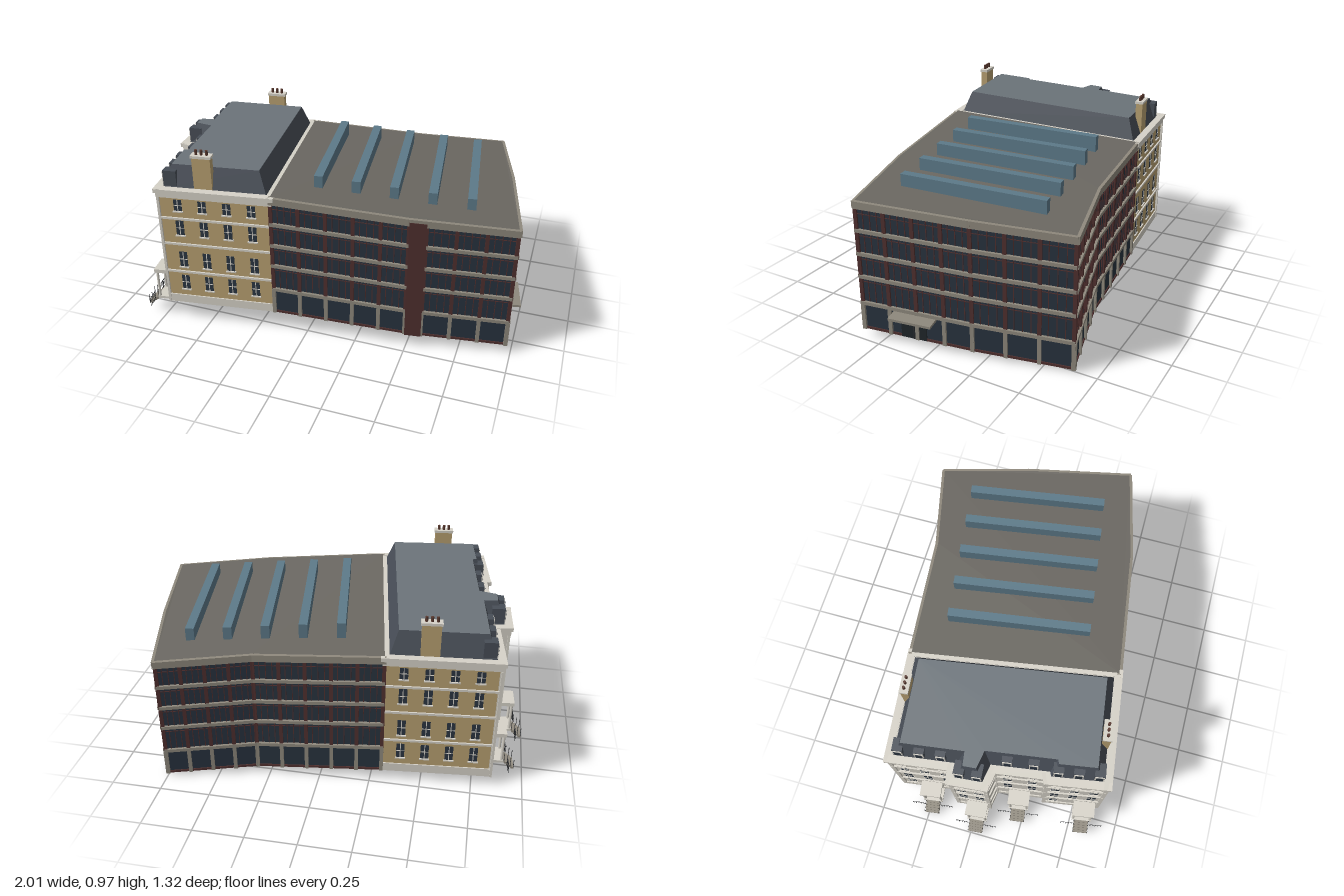
import * as THREE from 'three';
import { mergeGeometries } from 'three/addons/utils/BufferGeometryUtils.js';

const COLORS = {
  brick: 0xb8a071, stucco: 0xd6d2c8, pane: 0x2b3541, slate: 0x484e57, leadRoof: 0x6c747a,
  glass: 0x28333f, maroon: 0x50302f, concrete: 0x8f897d, flatRoof: 0x6b6862,
  skylight: 0x5d7a89, iron: 0x2c2e31, pot: 0x5a3a30, doorDark: 0x20262a,
};

export function createModel() {
  const model = new THREE.Group();
  const parts = new Map();

  // Collect geometry by part name; each part becomes one mesh.
  const add = (name, color, geo) => {
    const g = geo.index ? geo.toNonIndexed() : geo;
    g.deleteAttribute('uv');
    if (!parts.has(name)) parts.set(name, { color, geos: [] });
    parts.get(name).geos.push(g);
  };

  // Frame along a wall: u runs from a to b and follows the sloping ground, v is up, w is outward.
  const frame = (a, b) => {
    const d = new THREE.Vector3().subVectors(b, a);
    const length = Math.hypot(d.x, d.z);
    d.divideScalar(length);
    const m = new THREE.Matrix4().makeBasis(d, new THREE.Vector3(0, 1, 0), new THREE.Vector3(-d.z, 0, d.x)).setPosition(a);
    const box = (name, color, u0, u1, v0, v1, w0, w1) => {
      const g = new THREE.BoxGeometry(u1 - u0, v1 - v0, w1 - w0);
      g.translate((u0 + u1) / 2, (v0 + v1) / 2, (w0 + w1) / 2);
      add(name, color, g.applyMatrix4(m));
    };
    const post = (name, color, u, w, v0, v1, r) => {
      const g = new THREE.CylinderGeometry(r, r, v1 - v0, 8).translate(u, (v0 + v1) / 2, w);
      add(name, color, g.applyMatrix4(m));
    };
    return { box, post, length };
  };

  const surface = (name, color, triangles) => {
    const g = new THREE.BufferGeometry().setFromPoints(triangles);
    g.computeVertexNormals();
    add(name, color, g);
  };
  const cap = (name, color, pts) => {
    const faces = THREE.ShapeUtils.triangulateShape(pts.map(p => new THREE.Vector2(p.x, -p.z)), []);
    surface(name, color, faces.flat().map(i => pts[i]));
  };
  const raise = (pts, h) => pts.map(p => new THREE.Vector3(p.x, p.y + h, p.z));

  // ---------- Modern wing ----------
  const H = 0.655;
  const V = (x, y, z) => new THREE.Vector3(x, y, z);
  const wing = [V(-0.155, 0.11, 0.543), V(0.49, 0.07, 0.455), V(0.97, 0.037, 0.345), V(0.865, 0.02, -0.185),
    V(0.75, 0.003, -0.635), V(0.31, 0.03, -0.53), V(-0.305, 0.05, -0.47)];
  const floors = [0.14, 0.278, 0.394, 0.511, 0.62];

  const curtainWall = (a, b, bays, start = 0) => {
    const { box, length } = frame(a, b);
    box('groundFloorGlazing', 'glass', 0, length, 0, 0.14, -0.01, 0);
    box('wingInnerWall', 'maroon', 0, length, 0.14, 0.64, -0.012, -0.006);
    box('upperGlazing', 'glass', 0, length, 0.14, 0.62, -0.006, 0);
    box('plinth', 'maroon', 0, length, 0, 0.012, 0, 0.005);
    box('wingParapet', 'concrete', -0.008, length + 0.008, 0.62, H, -0.01, 0.014);
    for (const v of floors.slice(0, 4)) box('floorBand', 'concrete', -0.006, length + 0.006, v - 0.008, v + 0.009, 0, 0.013);
    const step = (length - start) / bays;
    for (let i = 0; i <= bays; i++) {
      const u = start + i * step;
      box('groundPier', 'concrete', u - 0.009, u + 0.009, 0, 0.14, -0.002, 0.012);
      box('upperPier', 'maroon', u - 0.009, u + 0.009, 0.14, 0.62, -0.002, 0.009);
      if (i === bays) break;
      for (let k = 1; k < 4; k++) {
        const mu = u + step * k / 4;
        box('mullion', 'maroon', mu - 0.0018, mu + 0.0018, 0.14, 0.62, 0, 0.004);
      }
    }
    for (let i = 0; i < 4; i++) {
      const v = floors[i + 1] - 0.028;
      box('transom', 'maroon', 0, length, v, v + 0.003, 0, 0.003);
    }
  };
  [5, 3, 4, 3, 4, 5].forEach((bays, i) => curtainWall(wing[i], wing[i + 1], bays, i === 1 ? 0.08 : 0));
  frame(wing[1], wing[2]).box('stairTowerPanel', 'maroon', 0, 0.08, 0, 0.64, -0.004, 0.016);
  cap('wingRoof', 'flatRoof', raise(wing, H + 0.002));

  // Main entrance
  const entry = frame(wing[2], wing[3]);
  entry.box('entranceDoor', 'doorDark', 0.19, 0.315, 0, 0.115, 0, 0.006);
  entry.box('entranceDoorPost', 'iron', 0.25, 0.255, 0, 0.115, 0.004, 0.009);
  entry.box('entranceCanopy', 'concrete', 0.158, 0.367, 0.118, 0.13, 0, 0.075);

  // Roof lights
  const roofY = (x, z) => 0.69 - 0.062 * (x - 0.97) + 0.04 * (z - 0.345);
  for (let i = 0; i < 5; i++) {
    const x = 0.016 + 0.18 * i, z = 0.355 - 0.025 * i;
    const a = V(x - 0.096, roofY(x - 0.096, z - 0.7), z - 0.7), b = V(x, roofY(x, z), z);
    const f = frame(a, b);
    f.box('roofLight', 'skylight', 0, f.length, -0.035, 0.06, -0.021, 0.021);
  }

  // ---------- Old terrace ----------
  const ground = (x, z) => 0.11 + 0.015 * (x + 0.155) + 0.057 * (z - 0.543);
  const outline = [[-0.7, 0.62], [-0.155, 0.543], [-0.305, -0.47], [-0.84, -0.415], [-0.8, -0.11],
    [-0.865, -0.1], [-0.85, 0.07], [-0.76, 0.085], [-0.725, 0.33], [-0.745, 0.34]]
    .map(([x, z]) => V(x, ground(x, z), z));
  const n = outline.length;
  const rows = [[0.125, 0.08], [0.262, 0.085], [0.443, 0.08], [0.568, 0.06]];

  const sashWindow = (f, u, v, h) => {
    const w = 0.02;
    f.box('windowPane', 'pane', u - w, u + w, v - h / 2, v + h / 2, 0, 0.002);
    f.box('windowSill', 'stucco', u - w - 0.005, u + w + 0.005, v - h / 2 - 0.006, v - h / 2, 0, 0.009);
    f.box('glazingBar', 'stucco', u - 0.002, u + 0.002, v - h / 2, v + h / 2, 0, 0.004);
    f.box('glazingBar', 'stucco', u - w, u + w, v - 0.0015, v + 0.0015, 0, 0.004);
  };

  const porch = (f, u) => {
    f.box('frontDoor', 'doorDark', u - 0.022, u + 0.022, 0, 0.12, 0, 0.004);
    f.box('porchCanopy', 'stucco', u - 0.055, u + 0.055, 0.148, 0.168, 0, 0.082);
    f.box('porchFloor', 'stucco', u - 0.052, u + 0.052, -0.012, 0.002, 0, 0.08);
    for (let i = 0; i < 5; i++)
      f.box('porchStep', 'concrete', u - 0.038, u + 0.038, -0.02 - 0.01 * i, -0.008 - 0.01 * i, 0.075 + 0.012 * i, 0.09 + 0.012 * i);
    for (const s of [-1, 1]) {
      f.post('porchColumn', 'stucco', u + s * 0.044, 0.07, 0, 0.15, 0.007);
      f.box('porchPilaster', 'stucco', u + s * 0.044 - 0.006, u + s * 0.044 + 0.006, 0, 0.15, 0, 0.008);
      for (let i = 0; i < 4; i++) // stair and area railings
        f.post('railingPost', 'iron', u + s * 0.038, 0.085 + 0.017 * i, -0.012 - 0.013 * i, 0.035 - 0.013 * i, 0.0015);
      for (let i = 0; i < 5; i++)
        f.post('railingPost', 'iron', u + s * (0.05 + 0.014 * i), 0.1, -0.03, 0.02, 0.0012);
      const r = [u + s * 0.045, u + s * 0.11].sort((p, q) => p - q);
      f.box('railingBar', 'iron', r[0], r[1], 0.014, 0.017, 0.099, 0.101);
    }
  };

  // Wall index -> [window columns, porch position along the wall as a fraction]
  const layout = { 0: [4], 1: [8], 2: [4], 3: [3, 0.54], 5: [2, 0.66], 7: [2, 0.5], 9: [3, 0.74] };
  for (let i = 0; i < n; i++) {
    const f = frame(outline[i], outline[(i + 1) % n]), L = f.length, left = i > 2;
    f.box(left ? 'stuccoFront' : 'brickWall', left ? 'stucco' : 'brick', 0, L, 0, 0.64, -0.01, 0);
    f.box('basePlinth', 'stucco', -0.005, L + 0.005, 0, 0.045, 0, 0.006);
    for (const v of [0.183, 0.345, 0.49]) f.box('stringCourse', 'stucco', -0.007, L + 0.007, v, v + 0.011, 0, 0.008);
    f.box('cornice', 'stucco', -0.008, L + 0.008, 0.61, 0.635, 0, 0.01);
    f.box('cornice', 'stucco', -0.016, L + 0.016, 0.635, H, -0.02, 0.018);
    if (!layout[i]) continue;
    const [cols, door] = layout[i];
    for (let c = 0; c < cols; c++) {
      const u = L * (left ? (c + 0.5) / cols : 0.17 + 0.66 * c / (cols - 1));
      rows.forEach(([v, h], r) => {
        if (door && r === 0 && Math.abs(u - door * L) < 0.08) return;
        sashWindow(f, u, v, h);
      });
      if (left) { // dormers
        f.box('dormer', 'slate', u - 0.025, u + 0.025, 0.66, 0.738, -0.09, -0.026);
        f.box('dormerFrame', 'stucco', u - 0.022, u + 0.022, 0.665, 0.732, -0.03, -0.022);
        f.box('dormerPane', 'pane', u - 0.016, u + 0.016, 0.672, 0.725, -0.024, -0.02);
      }
    }
    if (left) for (const u of [0, L]) f.box('cornerPilaster', 'stucco', u - 0.01, u + 0.01, 0, 0.61, -0.005, 0.007);
    if (door) porch(f, door * L);
  }

  // Mansard roof, inset from the outline with mitred corners
  const inset = (d, h) => outline.map((p, i) => {
    const q = outline[(i + n - 1) % n], r = outline[(i + 1) % n];
    const n1 = new THREE.Vector2(q.z - p.z, p.x - q.x).normalize();
    const n2 = new THREE.Vector2(p.z - r.z, r.x - p.x).normalize();
    const k = -d / (1 + n1.dot(n2));
    const x = p.x + k * (n1.x + n2.x), z = p.z + k * (n1.y + n2.y);
    return V(x, ground(x, z) + h, z);
  });
  const low = inset(0.022, 0.648), high = inset(0.062, 0.76);
  cap('gutter', 'stucco', raise(outline, 0.65));
  cap('mansardTop', 'leadRoof', high);
  for (let i = 0; i < n; i++) {
    const j = (i + 1) % n;
    surface('mansardSlope', 'slate', [low[i], low[j], high[j], low[i], high[j], high[i]]);
  }

  // Chimney stacks on the two end walls
  for (const [wall, u] of [[0, 0.222], [2, 0.207]]) {
    const f = frame(outline[wall], outline[wall + 1]);
    f.box('chimneyStack', 'brick', u - 0.045, u + 0.045, 0.65, 0.815, -0.056, -0.02);
    f.box('chimneyCap', 'stucco', u - 0.05, u + 0.05, 0.815, 0.828, -0.06, -0.016);
    for (let i = -1; i <= 1; i++) f.post('chimneyPot', 'pot', u + i * 0.026, -0.038, 0.826, 0.852, 0.007);
  }

  for (const [name, { color, geos }] of parts) {
    const mesh = new THREE.Mesh(mergeGeometries(geos),
      new THREE.MeshStandardMaterial({ color: COLORS[color], side: THREE.DoubleSide }));
    mesh.name = name;
    model.add(mesh);
  }
  return model;
}
